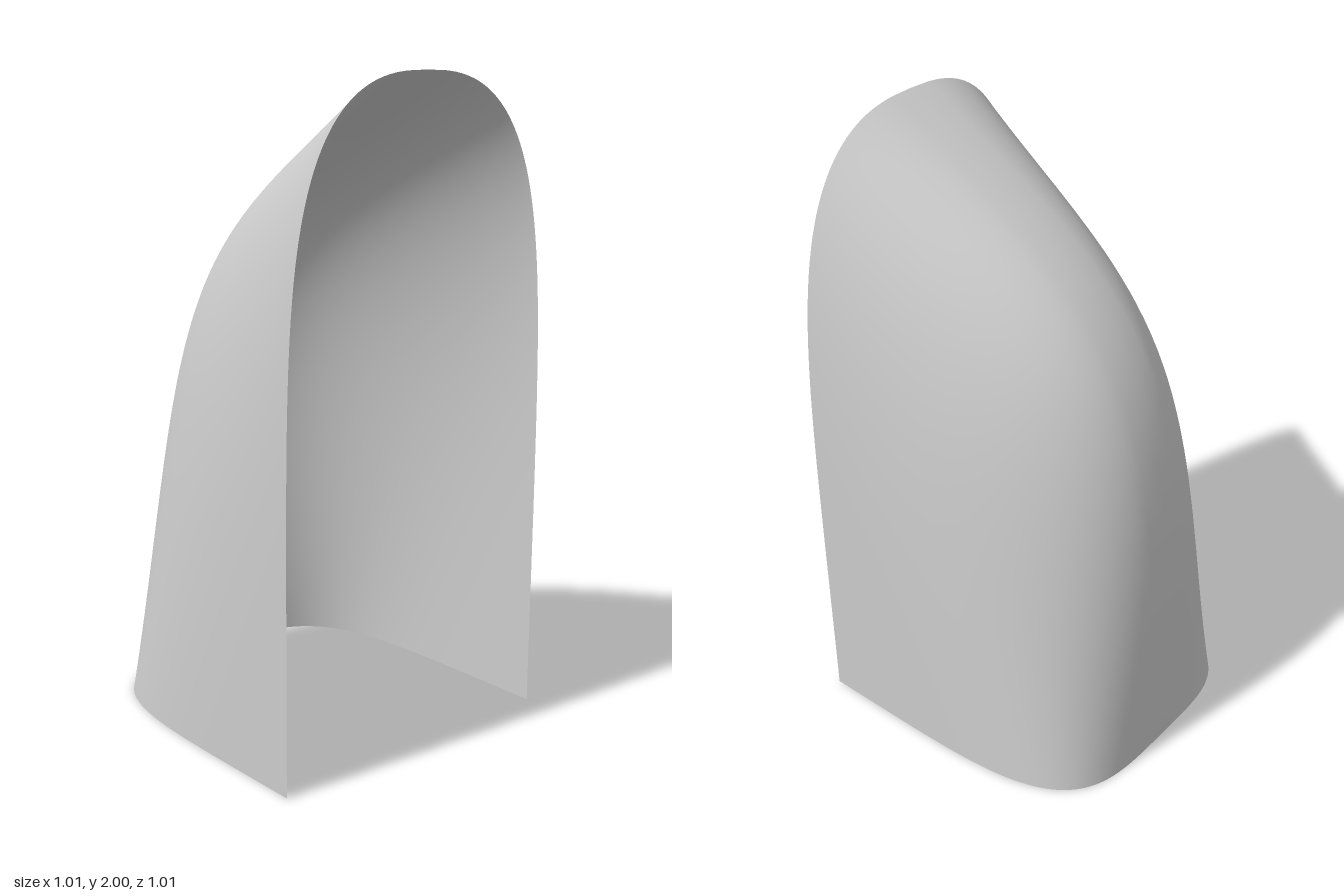
import * as THREE from 'three';

const R = 0.507;      // half width and half depth
const H = 2;          // height of the front arch
const ACROSS = 96, ALONG = 48;

// Ridge on the centre line, from the arch top down to the back foot (z, y)
const ridge = new THREE.CubicBezierCurve(
  new THREE.Vector2(R, H), new THREE.Vector2(-0.343, 1.524),
  new THREE.Vector2(-R, 1.45), new THREE.Vector2(-R, 0));

// Rim profiles: reach (0 to 1) at a sideways position w (0 centre, 1 edge)
const frontReach = (w) => (1 - w ** 2.6) ** (1 / 6.2);
const footReach = (w) => (1 - w ** 4) ** (1 / 5);

// Curved hood: straight blend from front rim to foot rim, bulged towards the ridge
function hoodGeometry() {
  const g = new THREE.PlaneGeometry(1, 1, ACROSS, ALONG);
  const p = g.attributes.position;
  for (let j = 0; j <= ALONG; j++) {
    const v = j / ALONG;
    const r = ridge.getPointAt(v);
    const bulgeZ = r.x - (R - 2 * R * v);
    const bulgeY = r.y - H * (1 - v);
    for (let i = 0; i <= ACROSS; i++) {
      const c = Math.cos(i / ACROSS * Math.PI);
      const w = Math.abs(c) ** 0.556;
      const f = 1 - w ** 2.2;
      p.setXYZ(j * (ACROSS + 1) + i, R * Math.sign(c) * w,
        H * frontReach(w) * (1 - v) + f * bulgeY,
        R - 2 * R * footReach(w) * v + f * bulgeZ);
    }
  }
  g.computeVertexNormals();
  return g;
}

export function createModel() {
  const group = new THREE.Group();
  group.name = 'openHood';
  const material = new THREE.MeshStandardMaterial({ color: 0xcccccc, side: THREE.DoubleSide });
  const shell = new THREE.Mesh(hoodGeometry(), material);
  shell.name = 'hoodShell';
  group.add(shell);
  return group;
}
